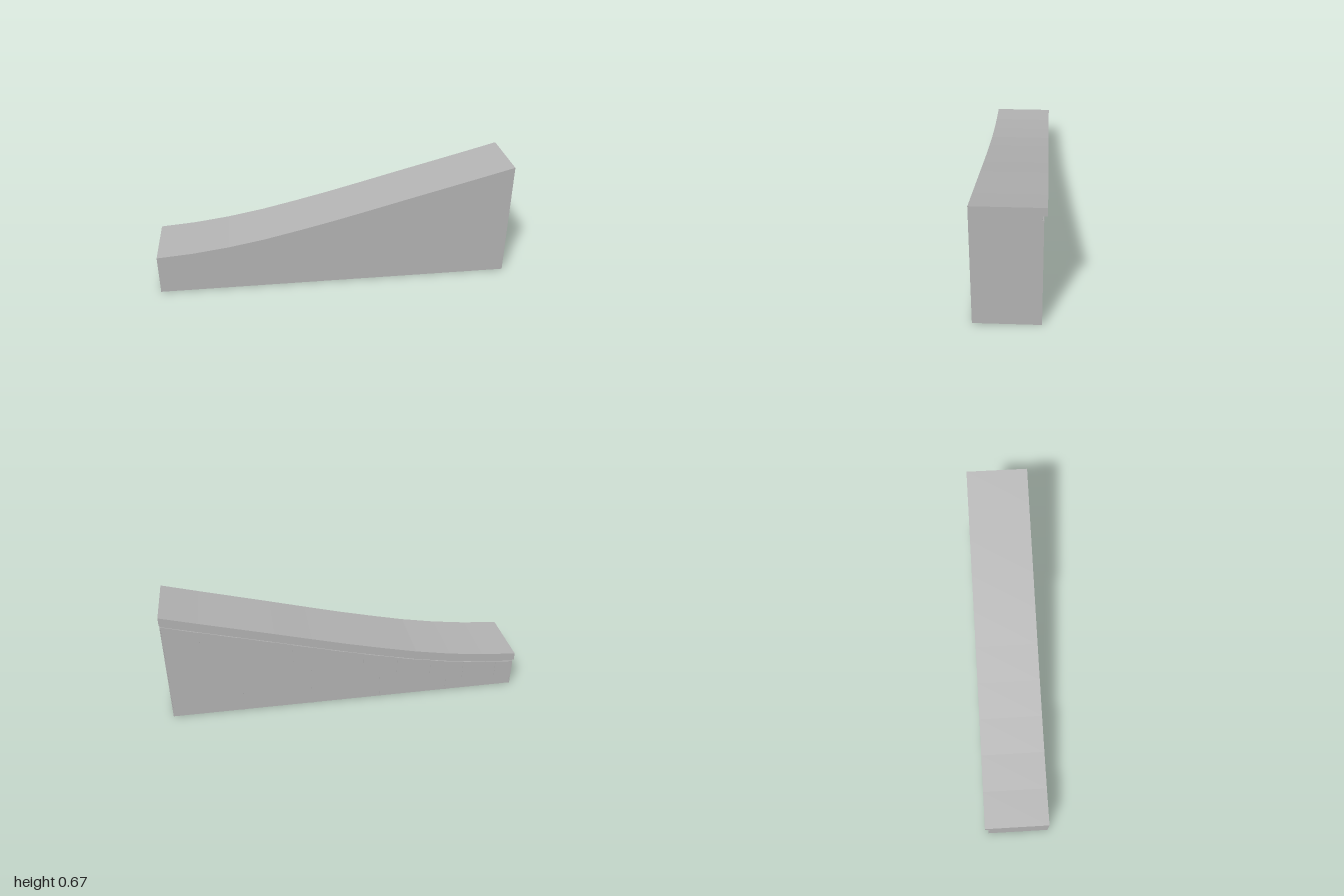
import * as THREE from 'three';

// Height of the sloping top at stations 0.2 apart, from x = -1 to x = 1
const TOP = [0.225, 0.241, 0.268, 0.305, 0.351, 0.4, 0.453, 0.507, 0.56, 0.613, 0.667];
const STEP = 0.2;
const BACK = -0.16;    // back wall plane
const RELIEF = 0.002;  // how far the raised details stand out

function topAt(x) {
  const f = THREE.MathUtils.clamp((x + 1) / STEP, 0, TOP.length - 1);
  const i = Math.min(Math.floor(f), TOP.length - 2);
  return THREE.MathUtils.lerp(TOP[i], TOP[i + 1], f - i);
}

// Closed flat-shaded solid swept along x; section(top) gives [z, y] points, clockwise seen from +x
function sweep(stations, section) {
  const pos = [];
  const rings = stations.map((x) => section(topAt(x)).map(([z, y]) => new THREE.Vector3(x, y, z)));
  const tri = (...pts) => pts.forEach((p) => pos.push(p.x, p.y, p.z));
  for (let i = 0; i < rings.length - 1; i++) {
    const n = rings[i].length;
    for (let j = 0; j < n; j++) {
      const k = (j + 1) % n;
      const a = rings[i][j], b = rings[i][k], c = rings[i + 1][k], d = rings[i + 1][j];
      tri(a, d, c);
      tri(a, c, b);
    }
  }
  // End caps, each triangle turned to face outward
  for (const [ring, side] of [[rings[0], -1], [rings[rings.length - 1], 1]]) {
    const flat = ring.map((p) => new THREE.Vector2(p.z, p.y));
    for (const [i, j, k] of THREE.ShapeUtils.triangulateShape(flat, [])) {
      const a = ring[i], b = ring[j], c = ring[k];
      const nx = (b.y - a.y) * (c.z - a.z) - (b.z - a.z) * (c.y - a.y);
      if (nx * side > 0) tri(a, b, c);
      else tri(a, c, b);
    }
  }
  const geo = new THREE.BufferGeometry();
  geo.setAttribute('position', new THREE.Float32BufferAttribute(pos, 3));
  geo.computeVertexNormals();
  return geo;
}

export function createModel() {
  const model = new THREE.Group();
  model.name = 'rampWall';
  const concrete = new THREE.MeshStandardMaterial({ color: 0xb3b3b3 });
  concrete.name = 'concrete grey';

  const add = (name, stations, section) => {
    const mesh = new THREE.Mesh(sweep(stations, section), concrete);
    mesh.name = name;
    model.add(mesh);
  };

  // Wall with a projecting coping and a shallow groove beneath it
  add('wall', TOP.map((_, i) => -1 + i * STEP), (t) => [
    [0.178, 0], [0.178, t], [-0.178, t], [-0.178, t - 0.045],
    [-0.155, t - 0.045], [-0.155, t - 0.067], [BACK, t - 0.067], [BACK, 0],
  ]);

  // Slanted blocks in a row below the groove
  for (let i = 0; i < 10; i++) {
    const x = -0.995 + i * STEP;
    add('block', [x, x + 0.1], (t) => [
      [BACK, t - 0.18], [BACK, t - 0.067],
      [BACK - RELIEF, t - 0.067], [BACK - RELIEF, t - 0.18],
    ]);
  }

  // Narrow upright strips dividing the back into bays
  for (let i = 0; i < 6; i++) {
    const x = -1 + i * 2 * STEP;
    add('strip', [Math.max(x - 0.005, -1), Math.min(x + 0.005, 1)], (t) => [
      [BACK, 0], [BACK, t - 0.067], [BACK - RELIEF, t - 0.067], [BACK - RELIEF, 0],
    ]);
  }
  return model;
}
